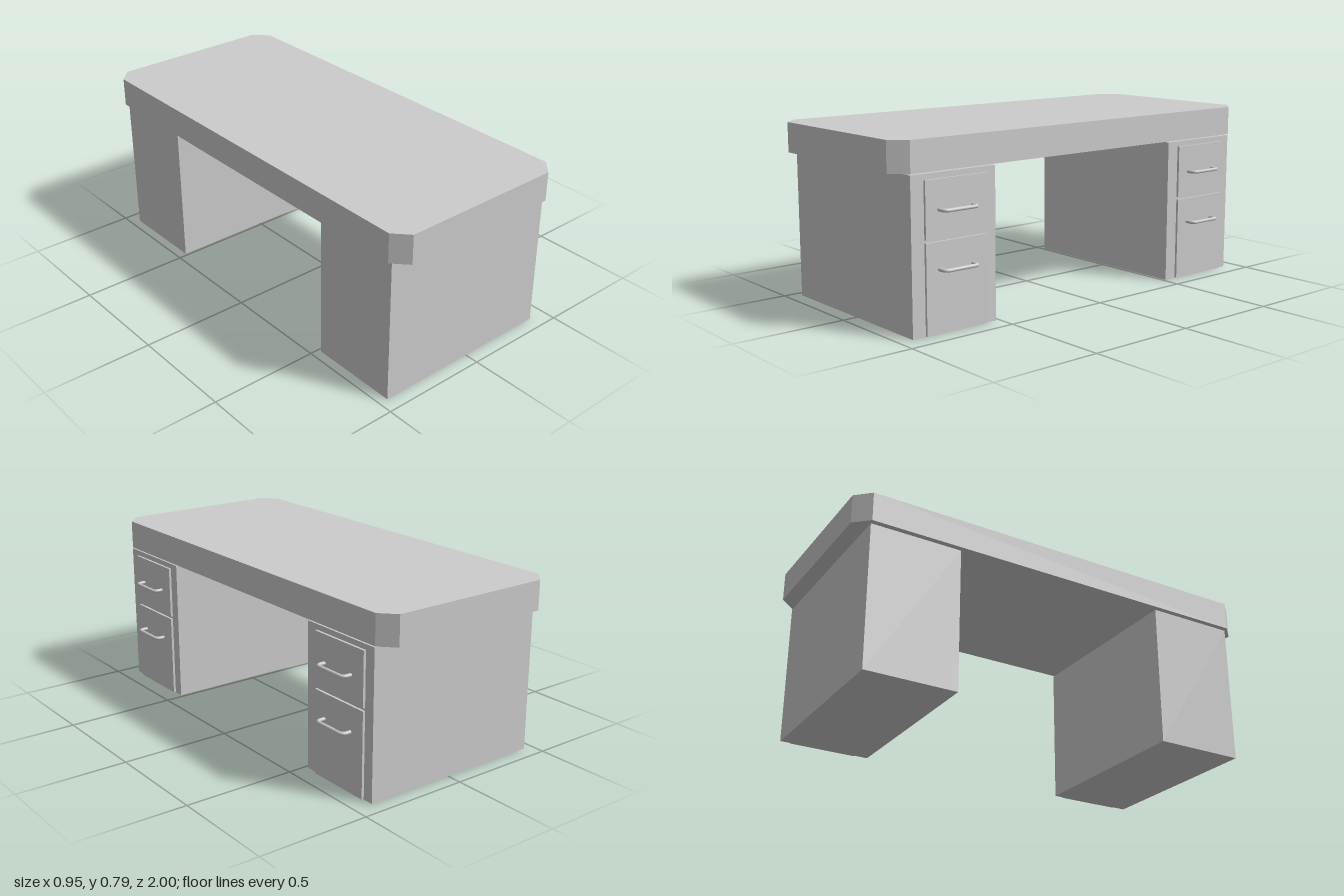
import * as THREE from 'three';

const material = new THREE.MeshStandardMaterial({ color: 0xcccccc });

function addMesh(parent, name, geometry) {
  const mesh = new THREE.Mesh(geometry, material);
  mesh.name = name;
  parent.add(mesh);
  return mesh;
}

// Box given by its minimum and maximum corners
function addBox(parent, name, [x0, y0, z0], [x1, y1, z1]) {
  const mesh = addMesh(parent, name, new THREE.BoxGeometry(x1 - x0, y1 - y0, z1 - z0));
  mesh.position.set((x0 + x1) / 2, (y0 + y1) / 2, (z0 + z1) / 2);
}

// Thick slab with four chamfered corners
function desktopGeometry() {
  const x0 = -0.475, x1 = 0.413, cx = 0.063, cz = 0.067;
  const shape = new THREE.Shape([
    [x0 + cx, -1], [x1 - cx, -1], [x1, -1 + cz], [x1, 1 - cz],
    [x1 - cx, 1], [x0 + cx, 1], [x0, 1 - cz], [x0, -1 + cz],
  ].map(([x, z]) => new THREE.Vector2(x, z)));
  return new THREE.ExtrudeGeometry(shape, { depth: 0.132, bevelEnabled: false })
    .rotateX(-Math.PI / 2).translate(0, 0.66, 0);
}

// Bow handle: two stems joined by a bar through rounded corners
function handleGeometry() {
  const back = 0.418, front = 0.465, half = 0.083, r = 0.022;
  const p = (x, z) => new THREE.Vector3(x, 0, z);
  const path = new THREE.CurvePath();
  path.add(new THREE.LineCurve3(p(back, -half), p(front - r, -half)));
  path.add(new THREE.QuadraticBezierCurve3(p(front - r, -half), p(front, -half), p(front, -half + r)));
  path.add(new THREE.LineCurve3(p(front, -half + r), p(front, half - r)));
  path.add(new THREE.QuadraticBezierCurve3(p(front, half - r), p(front, half), p(front - r, half)));
  path.add(new THREE.LineCurve3(p(front - r, half), p(back, half)));
  return new THREE.TubeGeometry(path, 48, 0.008, 12, false);
}

// Cabinet with two drawer fronts, centred on its own z
function createPedestal(name, z) {
  const pedestal = new THREE.Group();
  pedestal.name = name;
  pedestal.position.z = z;
  addBox(pedestal, 'cabinet', [-0.457, 0, -0.209], [0.413, 0.655, 0.209]);
  const drawers = [
    { name: 'upperDrawer', bottom: 0.392, top: 0.631, handleY: 0.509 },
    { name: 'lowerDrawer', bottom: 0.002, top: 0.38, handleY: 0.268 },
  ];
  for (const d of drawers) {
    addBox(pedestal, d.name + 'Front', [0.41, d.bottom, -0.159], [0.424, d.top, 0.147]);
    addMesh(pedestal, d.name + 'Handle', handleGeometry()).position.y = d.handleY;
  }
  return pedestal;
}

export function createModel() {
  const desk = new THREE.Group();
  desk.name = 'desk';
  addMesh(desk, 'desktop', desktopGeometry());
  desk.add(createPedestal('frontPedestal', 0.726), createPedestal('rearPedestal', -0.722));
  return desk;
}
